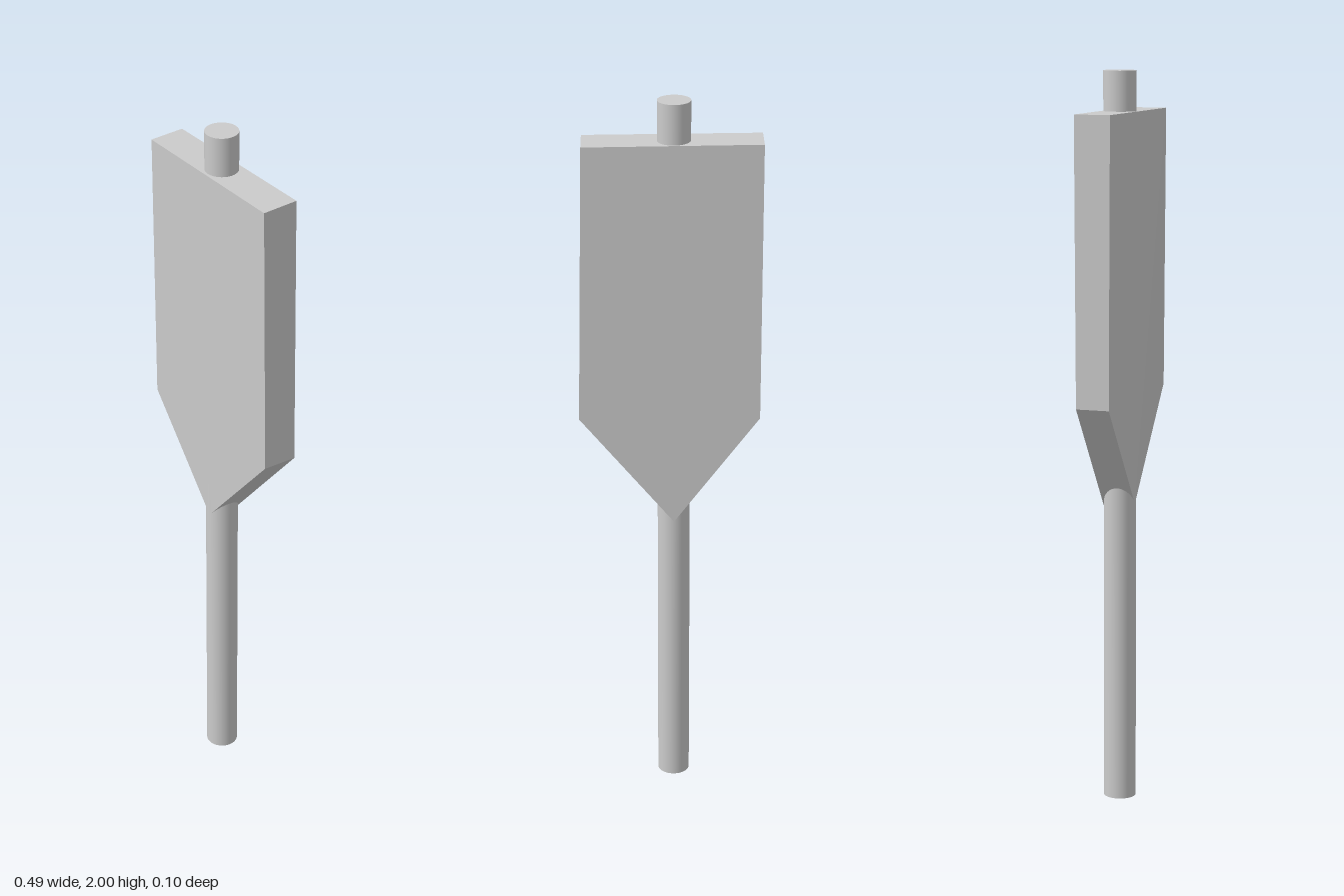
import * as THREE from 'three';

const material = new THREE.MeshStandardMaterial({ color: 0xcccccc });

// Flat-faced solid between two matching outlines, both counter-clockwise seen from the front
function loftOutlines(front, back) {
  const positions = [];
  const tri = (a, b, c) => positions.push(...a, ...b, ...c);
  const n = front.length;
  for (let i = 1; i < n - 1; i++) {
    tri(front[0], front[i], front[i + 1]);
    tri(back[0], back[i + 1], back[i]);
  }
  for (let i = 0; i < n; i++) {
    const j = (i + 1) % n;
    tri(front[i], back[i], back[j]);
    tri(front[i], back[j], front[j]);
  }
  const geometry = new THREE.BufferGeometry();
  geometry.setAttribute('position', new THREE.Float32BufferAttribute(positions, 3));
  geometry.computeVertexNormals();
  return geometry;
}

export function createModel() {
  const model = new THREE.Group();

  // Round rod running through the whole length
  const rod = new THREE.Mesh(new THREE.CylinderGeometry(0.044, 0.044, 2, 48), material);
  rod.name = 'rod';
  rod.position.set(-0.012, 1, -0.004);
  model.add(rod);

  // Slightly skewed, pointed paddle: tip, right-hand corners, left-hand corners
  const front = [
    [-0.012, 0.83, 0.039],
    [0.235, 1.125, 0.043],
    [0.228, 1.89, 0.05],
    [-0.243, 1.895, 0.046],
    [-0.243, 1.125, 0.042],
  ];
  const back = [
    [-0.012, 0.815, -0.049],
    [0.243, 1.125, -0.049],
    [0.228, 1.89, -0.052],
    [-0.243, 1.895, -0.052],
    [-0.243, 1.125, -0.049],
  ];
  const paddle = new THREE.Mesh(loftOutlines(front, back), material);
  paddle.name = 'paddle';
  model.add(paddle);

  return model;
}
